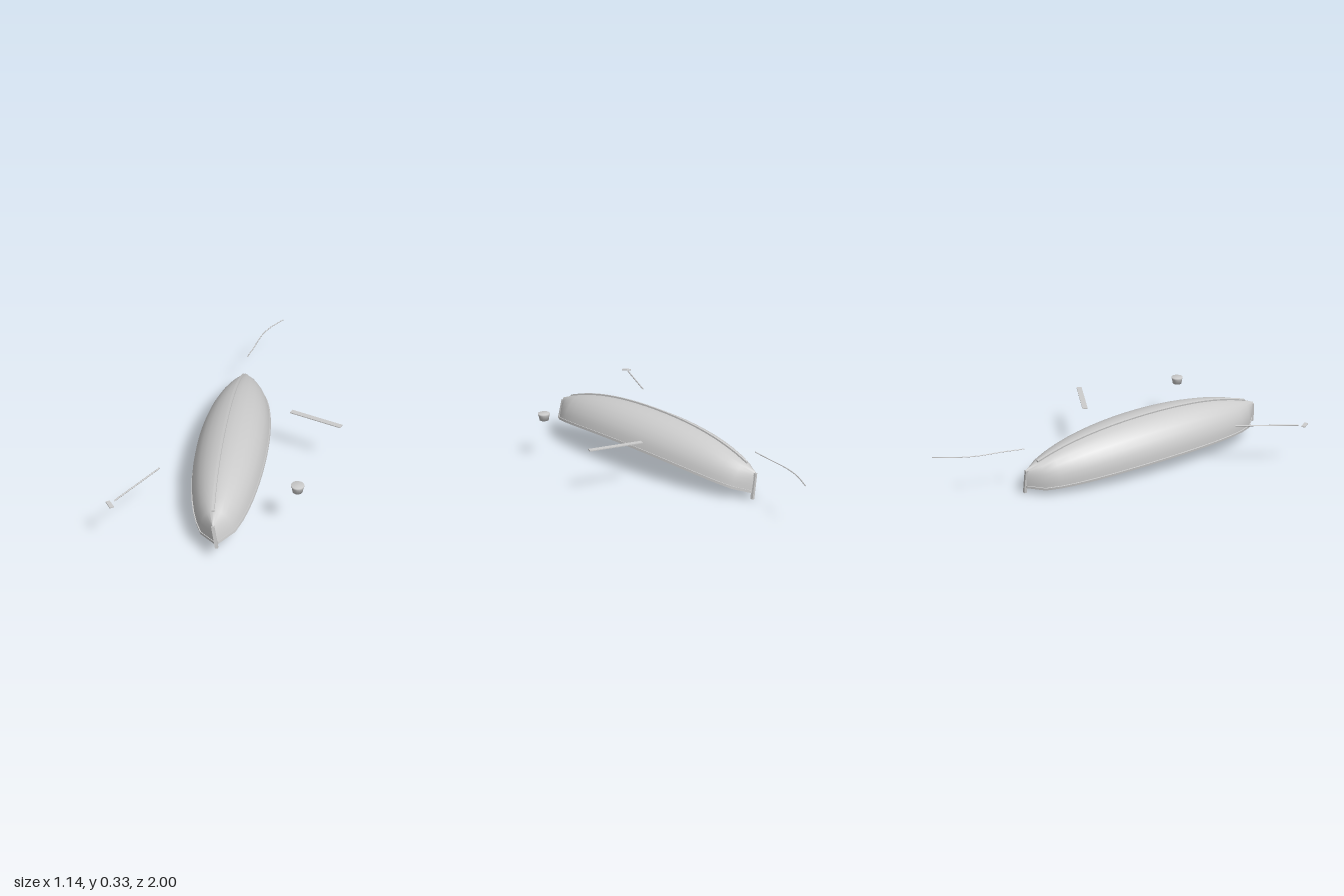
import * as THREE from 'three';
import { toCreasedNormals } from 'three/addons/utils/BufferGeometryUtils.js';

const material = new THREE.MeshStandardMaterial({ color: 0xcccccc, side: THREE.DoubleSide });
const HALF = 0.755; // half length of the hull

// Hull lines at t = -1 (stern) to 1 (bow): half beam, gunwale height, keel height
const beam = t => Math.max(0.196 * Math.sqrt(Math.max(0, 1 - t * t)), 0.006);
const sheer = t => -0.058 * t * t;
const keelY = t => 0.19 - 0.135 * t * t + 0.045 * t * t * (1 - t * t);
// Point of the half-elliptical hull section, a = 0 and PI at the gunwales
const hullPoint = (t, a, s = 1) => [
  beam(t) * Math.cos(a) * s,
  sheer(t) + (keelY(t) - sheer(t)) * Math.sin(a) * s,
  t * HALF,
];
const range = (n, a, b) => Array.from({ length: n + 1 }, (_, i) => a + (b - a) * i / n);

// Skin through a list of equally sized cross-sections; closed sections get end caps
function loft(rings, closed) {
  const n = rings[0].length, index = [];
  for (let i = 0; i < rings.length - 1; i++) {
    for (let j = 0; j < (closed ? n : n - 1); j++) {
      const a = i * n + j, b = i * n + (j + 1) % n;
      index.push(a, b, a + n, b, b + n, a + n);
    }
  }
  if (closed) {
    const e = (rings.length - 1) * n;
    for (let j = 1; j < n - 1; j++) index.push(0, j + 1, j, e, e + j, e + j + 1);
  }
  const g = new THREE.BufferGeometry();
  g.setAttribute('position', new THREE.Float32BufferAttribute(rings.flat(2), 3));
  g.setIndex(index);
  g.computeVertexNormals();
  return closed ? toCreasedNormals(g, 0.6) : g;
}

function add(parent, name, geometry, position = [0, 0, 0], rotation = [0, 0, 0]) {
  const m = new THREE.Mesh(geometry, material);
  m.name = name;
  m.position.set(...position);
  m.rotation.set(...rotation);
  parent.add(m);
  return m;
}

function createBoat() {
  const boat = new THREE.Group();
  boat.name = 'capsizedBoat';
  const stations = range(20, -1, 1);

  // Thin shell
  add(boat, 'hull', loft(stations.map(t => range(14, 0, Math.PI).map(a => hullPoint(t, a)))));

  // Keel strip along the bottom, now uppermost
  add(boat, 'keel', loft(range(18, -0.91, 0.91).map(t => {
    const y = keelY(t), z = t * HALF;
    return [[-0.007, y - 0.006, z], [0.007, y - 0.006, z], [0.007, y + 0.008, z], [-0.007, y + 0.008, z]];
  }), true));

  // Gunwale rails
  for (const s of [-1, 1]) {
    add(boat, s > 0 ? 'leftGunwale' : 'rightGunwale', loft(stations.map(t => {
      const x = beam(t), y = sheer(t), z = t * HALF;
      return [[s * (x - 0.006), y - 0.005, z], [s * (x + 0.005), y - 0.005, z],
        [s * (x + 0.005), y + 0.009, z], [s * (x - 0.006), y + 0.009, z]];
    }), true));
  }

  // Ribs inside the shell
  for (const t of range(9, -0.78, 0.78)) {
    const d = 0.004;
    add(boat, 'rib', loft(range(14, 0, Math.PI).map(a => {
      const [x, y, z] = hullPoint(t, a, 0.985), [u, v] = hullPoint(t, a, 0.94);
      return [[x, y, z - d], [x, y, z + d], [u, v, z + d], [u, v, z - d]];
    }), true));
  }

  // Thwarts
  for (const t of [0.31, -0.38]) {
    add(boat, 'thwart', new THREE.BoxGeometry(beam(t) * 1.94, 0.012, 0.034), [0, 0.017, t * HALF]);
  }

  // Stem and stern posts
  add(boat, 'stemPost', new THREE.BoxGeometry(0.015, 0.125, 0.016), [0, -0.018, HALF + 0.003], [-0.1, 0, 0]);
  add(boat, 'sternPost', new THREE.BoxGeometry(0.015, 0.145, 0.016), [0, -0.024, -HALF - 0.001], [0.06, 0, 0]);

  boat.position.set(-0.022, 0.128, 0.222);
  boat.rotation.set(-0.044, 0, 0.166);
  return boat;
}

export function createModel() {
  const model = new THREE.Group();
  model.name = 'capsizedBoatWithFlotsam';
  model.add(createBoat());

  // Drifting plank
  add(model, 'plank', new THREE.BoxGeometry(0.307, 0.005, 0.03), [0.422, 0.27, 0.07], [0, -0.4, 0.01]);

  // Bucket
  const profile = [[0, 0.249], [0.026, 0.249], [0.032, 0.279], [0.034, 0.281], [0.034, 0.29], [0, 0.291]]
    .map(p => new THREE.Vector2(...p));
  add(model, 'bucket', new THREE.LatheGeometry(profile, 16), [0.37, 0, 0.7]);

  // Oar shaft and its broken-off blade
  const shaft = new THREE.LineCurve3(new THREE.Vector3(-0.355, 0.27, 0.612), new THREE.Vector3(-0.533, 0.274, 0.912));
  add(model, 'oarShaft', new THREE.TubeGeometry(shaft, 1, 0.004, 8));
  add(model, 'oarBlade', new THREE.BoxGeometry(0.022, 0.005, 0.056), [-0.55, 0.274, 0.944], [0, 0.6, 0]);

  // Trailing rope
  const rope = new THREE.CatmullRomCurve3([
    [-0.02, 0.268, -0.535], [0.008, 0.267, -0.65], [0.038, 0.264, -0.79], [0.08, 0.263, -0.89], [0.15, 0.261, -0.998],
  ].map(p => new THREE.Vector3(...p)));
  add(model, 'rope', new THREE.TubeGeometry(rope, 32, 0.003, 6));

  return model;
}
